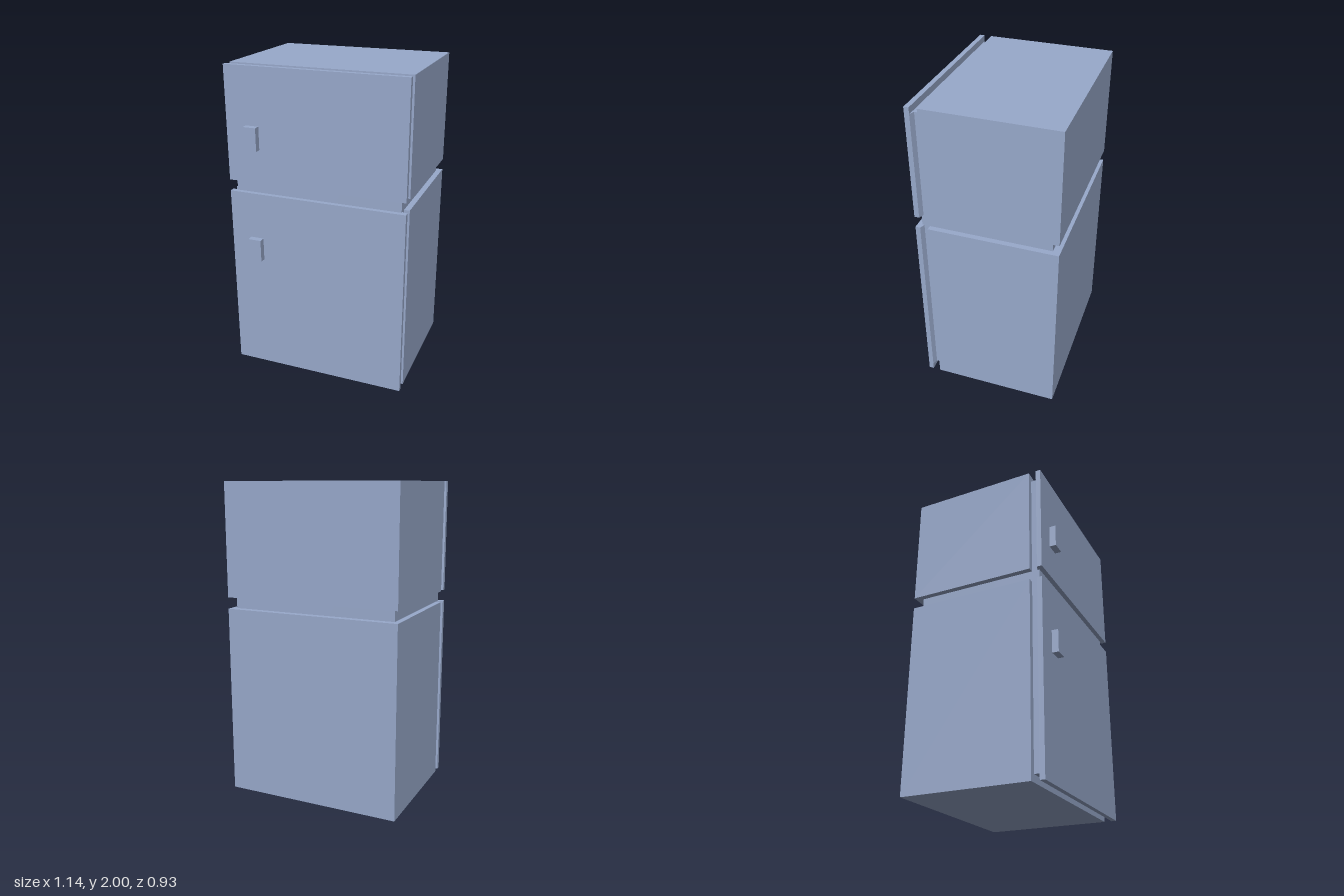
import * as THREE from 'three';

const blue = new THREE.MeshStandardMaterial({ color: 0x98a9cb });
blue.name = 'pale blue';

// Box given by its minimum and maximum corners
function box(name, x0, x1, y0, y1, z0, z1) {
  const mesh = new THREE.Mesh(new THREE.BoxGeometry(x1 - x0, y1 - y0, z1 - z0), blue);
  mesh.position.set((x0 + x1) / 2, (y0 + y1) / 2, (z0 + z1) / 2);
  mesh.name = name;
  return mesh;
}

// Thin wedge between the core and the back edge of a door
function wedge(name, side, y0, y1) {
  const shape = new THREE.Shape([
    new THREE.Vector2(side * 0.53, -0.38),
    new THREE.Vector2(side * 0.53, -0.396),
    new THREE.Vector2(side * 0.57, -0.394),
  ]);
  const geometry = new THREE.ExtrudeGeometry(shape, { depth: y1 - y0, bevelEnabled: false });
  geometry.rotateX(-Math.PI / 2).translate(0, y0, 0);
  const mesh = new THREE.Mesh(geometry, blue);
  mesh.name = name;
  return mesh;
}

export function createModel() {
  const group = new THREE.Group();
  group.name = 'refrigerator';

  // Recessed core joining both cabinets and the doors
  group.add(box('core', -0.535, 0.535, 0.045, 1.96, -0.42, 0.395));

  const sections = [
    { name: 'fridge', y0: 0, y1: 1.212, seal0: 0.045, seal1: 1.212, handle: 0.77 },
    { name: 'freezer', y0: 1.285, y1: 2, seal0: 1.285, seal1: 1.96, handle: 1.498 },
  ];
  for (const s of sections) {
    group.add(box(s.name + 'Cabinet', -0.57, 0.57, s.y0, s.y1, -0.466, 0.346));
    group.add(box(s.name + 'Door', -0.57, 0.57, s.y0, s.y1, 0.394, 0.425));
    group.add(box(s.name + 'Handle', -0.44, -0.355, s.handle, s.handle + 0.145, 0.42, 0.466));
    for (const side of [-1, 1]) {
      group.add(wedge(s.name + (side > 0 ? 'LeftSeal' : 'RightSeal'), side, s.seal0, s.seal1));
    }
  }
  return group;
}
